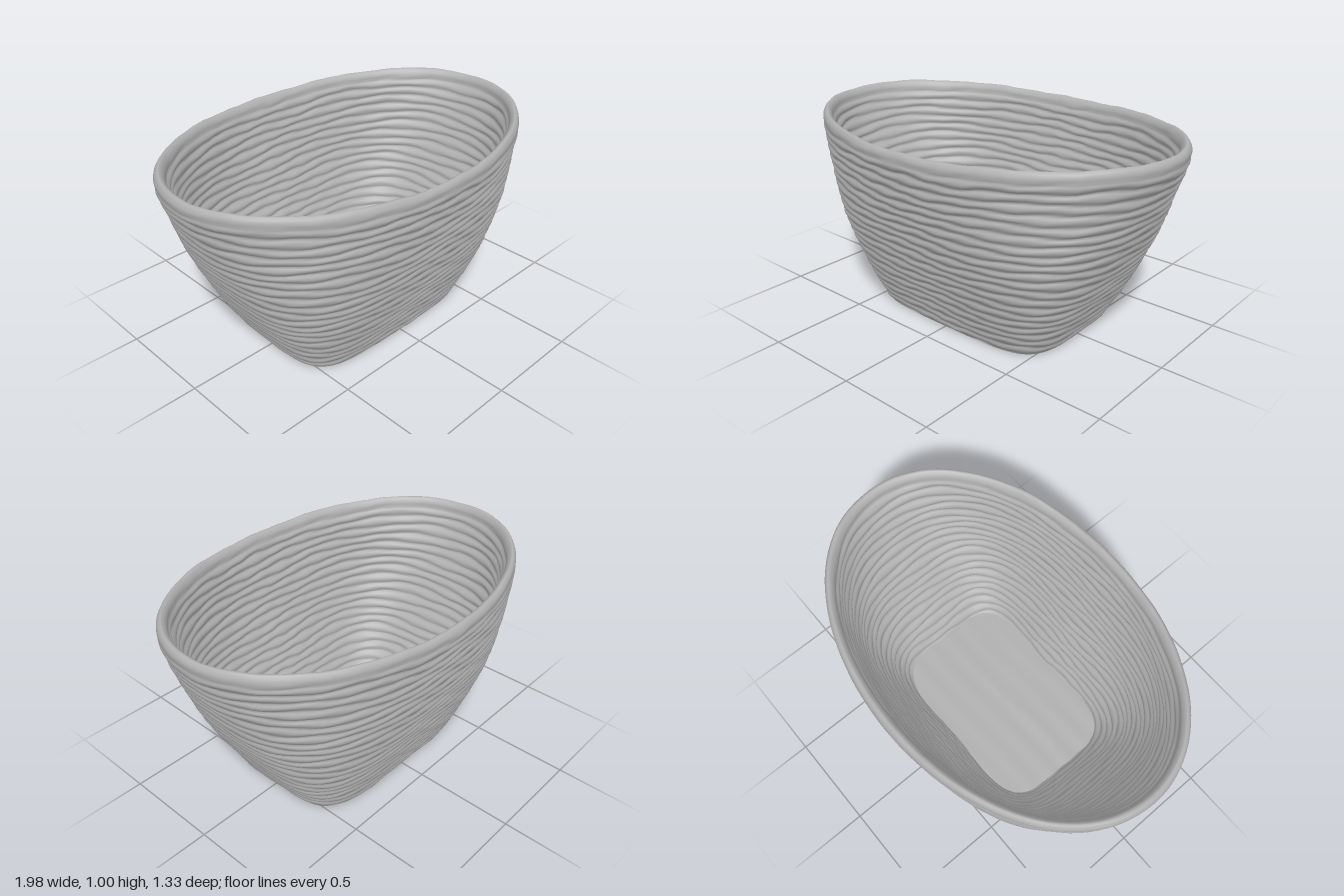
import * as THREE from 'three';

const SEG = 144, COILS = 20, STEPS = 6, HEIGHT = 0.97, WALL = 0.052;
const RIM_Y = 0.92;                       // where the rounded lip starts

const lerp = THREE.MathUtils.lerp;

// Outline radius at height y: rounded rectangle at the foot, ellipse at the lip
function outline(theta, y) {
  const t = THREE.MathUtils.clamp(y / RIM_Y, 0, 1);
  const a = lerp(0.535, 0.99, t) + 0.025 * Math.sin(Math.PI * t);
  const b = lerp(0.368, 0.664, t) + 0.035 * Math.sin(Math.PI * t);
  const n = 2.05 + 2.5 * Math.pow(1 - t, 1.4);
  const c = Math.abs(Math.cos(theta)) / a, s = Math.abs(Math.sin(theta)) / b;
  return Math.pow(Math.pow(c, n) + Math.pow(s, n), -1 / n);
}

// Gentle hand-made irregularity, periodic round the basket
function wobble(theta, y) {
  return 0.5 * Math.sin(5 * theta + 17 * y) + 0.3 * Math.sin(11 * theta - 41 * y)
    + 0.2 * Math.sin(23 * theta + 67 * y);
}

// Joins closed rings; point(row, theta) returns [x, y, z]
function loft(name, rows, point, material) {
  const pos = [], index = [];
  rows.forEach((row) => {
    for (let i = 0; i < SEG; i++) pos.push(...point(row, (i / SEG) * Math.PI * 2));
  });
  for (let r = 0; r < rows.length - 1; r++) {
    for (let i = 0; i < SEG; i++) {
      const j = (i + 1) % SEG;
      const a = r * SEG + i, b = r * SEG + j, c = a + SEG, d = b + SEG;
      index.push(a, c, b, b, c, d);
    }
  }
  const geo = new THREE.BufferGeometry();
  geo.setAttribute('position', new THREE.Float32BufferAttribute(pos, 3));
  geo.setIndex(index);
  geo.computeVertexNormals();
  const mesh = new THREE.Mesh(geo, material);
  mesh.name = name;
  return mesh;
}

// Wall point: inset measured inwards, bump is the strength of the coil ridges
function wallPoint({ y, inset, bump }, theta) {
  const wave = wobble(theta, y);
  const coil = Math.abs(Math.sin(Math.PI * (y / RIM_Y * COILS + 0.22 * wave)));
  const side = inset > WALL / 2 ? -1 : 1;
  const r = outline(theta, y) - inset + side * bump * (0.013 * (coil - 0.5) + 0.003 * wave);
  const t = y / HEIGHT;
  const lift = t * t * (0.028 * Math.cos(theta) ** 2 + 0.004 * wobble(theta * 2, 0.3));
  return [r * Math.cos(theta), y + lift, r * Math.sin(theta)];
}

export function createModel() {
  const basket = new THREE.Group();
  basket.name = 'basket';
  const wicker = new THREE.MeshStandardMaterial({ color: 0xb0b0b0 });
  wicker.name = 'grey wicker';

  // Coiled wall: up the outside, over the lip, down the inside
  const rows = [];
  const count = COILS * STEPS, floorY = 0.03;
  for (let i = 0; i <= count; i++) {
    rows.push({ y: (i / count) * RIM_Y, inset: 0, bump: i === 0 ? 0 : 1 });
  }
  for (let i = 1; i < 10; i++) {
    const a = (i / 10) * Math.PI;
    rows.push({
      y: RIM_Y + (HEIGHT - RIM_Y) * Math.sin(a),
      inset: (WALL / 2) * (1 - Math.cos(a)) - 0.004 * Math.sin(a),
      bump: 0.25,
    });
  }
  for (let i = count; i >= 0; i--) {
    rows.push({ y: lerp(floorY, RIM_Y, i / count), inset: WALL, bump: 1 });
  }
  basket.add(loft('coiledWall', rows, wallPoint, wicker));

  // Inside floor with faint woven ribs running lengthwise
  const rings = [1.06, 0.95, 0.85, 0.75, 0.65, 0.55, 0.45, 0.35, 0.25, 0.15, 0.07, 0];
  basket.add(loft('floor', rings, (s, theta) => {
    const r = s * (outline(theta, floorY) - WALL);
    const x = r * Math.cos(theta), z = r * Math.sin(theta);
    return [x, floorY + 0.006 + 0.002 * Math.sin(50 * z + Math.sin(4 * x)), z];
  }, wicker));

  // Flat underside
  basket.add(loft('underside', [0, 0.5, 1], (s, theta) => {
    const r = s * outline(theta, 0);
    return [r * Math.cos(theta), 0, r * Math.sin(theta)];
  }, wicker));

  return basket;
}
